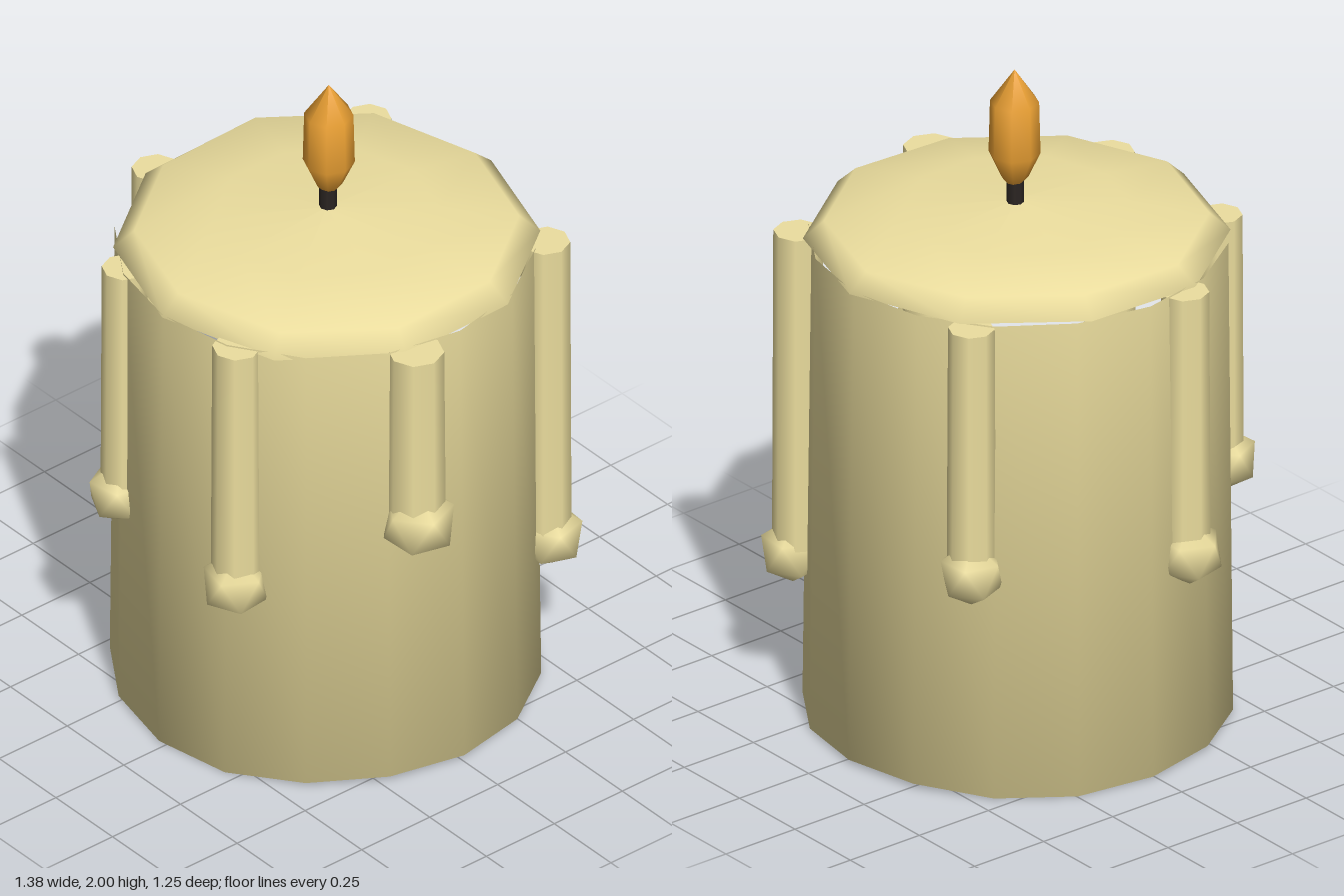
import * as THREE from 'three';
import { mergeVertices } from 'three/addons/utils/BufferGeometryUtils.js';

const wax = new THREE.MeshStandardMaterial({ color: 0xeddf9f });
const wickMaterial = new THREE.MeshStandardMaterial({ color: 0x2b2522 });
const flameMaterial = new THREE.MeshStandardMaterial({ color: 0xeaa033 });

function part(parent, name, geometry, material, x = 0, y = 0, z = 0) {
  const mesh = new THREE.Mesh(geometry, material);
  mesh.name = name;
  mesh.position.set(x, y, z);
  parent.add(mesh);
  return mesh;
}

// Smooth solid of revolution; profile runs from bottom to top as [radius, y]
function lathe(profile, sides) {
  return new THREE.LatheGeometry(profile.map(([r, y]) => new THREE.Vector2(r, y)), sides);
}

// Smooth-shaded icosahedron standing on one corner
function dropGeometry(radius) {
  const g = new THREE.IcosahedronGeometry(radius, 0);
  g.deleteAttribute('uv');
  g.deleteAttribute('normal');
  const drop = mergeVertices(g);
  drop.rotateX(-Math.atan((1 + Math.sqrt(5)) / 2));
  drop.computeVertexNormals();
  return drop;
}

export function createModel() {
  const candle = new THREE.Group();
  candle.name = 'candle';

  // Slightly leaning body: the foot is shifted against the top
  const body = lathe([[0, 0.01], [0.612, 0.008], [0.597, 1.48]], 16);
  const p = body.attributes.position;
  for (let i = 0; i < p.count; i++) {
    const low = 1 - p.getY(i) / 1.48;
    p.setX(i, p.getX(i) - 0.012 - 0.012 * low);
    p.setZ(i, p.getZ(i) - 0.012 * low);
    // Uneven foot
    if (low > 0.9) p.setY(i, Math.max(0, p.getY(i) + 0.008 * Math.sin(5 * p.getX(i) - 4 * p.getZ(i))));
  }
  body.computeBoundingSphere();
  part(candle, 'body', body, wax);

  // Domed, ten-sided melted top with a slightly wavy rim
  const cap = lathe([[0, 1.45], [0.56, 1.455], [0.605, 1.475], [0.545, 1.53], [0.32, 1.566], [0, 1.585]], 10);
  const c = cap.attributes.position;
  for (let i = 0; i < c.count; i++) {
    const x = c.getX(i), z = c.getZ(i);
    if (Math.hypot(x, z) > 0.5) c.setY(i, c.getY(i) + 0.008 * Math.sin(7 * x + 5 * z));
  }
  part(candle, 'meltedTop', cap, wax, -0.008, 0, -0.003);

  // Wick and flame
  part(candle, 'wick', new THREE.CylinderGeometry(0.025, 0.025, 0.14, 8), wickMaterial, -0.013, 1.62, -0.012);
  part(candle, 'flame', lathe([[0, 1.62], [0.04, 1.665], [0.074, 1.74], [0.07, 1.9], [0, 2]], 8),
    flameMaterial, -0.012, 0, -0.014);

  // Wax drips: x, z, tip height, stem radius, drop radius
  const drips = [
    [0.235, 0.53, 0.565, 0.074, 0.102],
    [-0.267, 0.525, 0.605, 0.068, 0.098],
    [0.575, 0.155, 0.785, 0.085, 0.112],
    [-0.585, 0.145, 0.555, 0.072, 0.1],
    [0.395, -0.472, 0.365, 0.074, 0.1],
    [-0.392, -0.475, 0.61, 0.07, 0.098],
  ];
  for (const [x, z, tip, stemRadius, dropRadius] of drips) {
    const drip = new THREE.Group();
    drip.name = 'waxDrip';
    drip.position.set(x, 0, z);
    candle.add(drip);
    const middle = tip + dropRadius;
    const length = 1.475 - middle;
    part(drip, 'dripStem', new THREE.CylinderGeometry(stemRadius * 0.95, stemRadius, length, 8), wax, 0, middle + length / 2, 0);
    const drop = part(drip, 'dripDrop', dropGeometry(dropRadius), wax, 0, middle, 0);
    // Drops lean a little outward
    drop.position.x += x * 0.03;
    drop.position.z += z * 0.02;
    drop.rotation.y = Math.atan2(x, z);
  }
  return candle;
}
